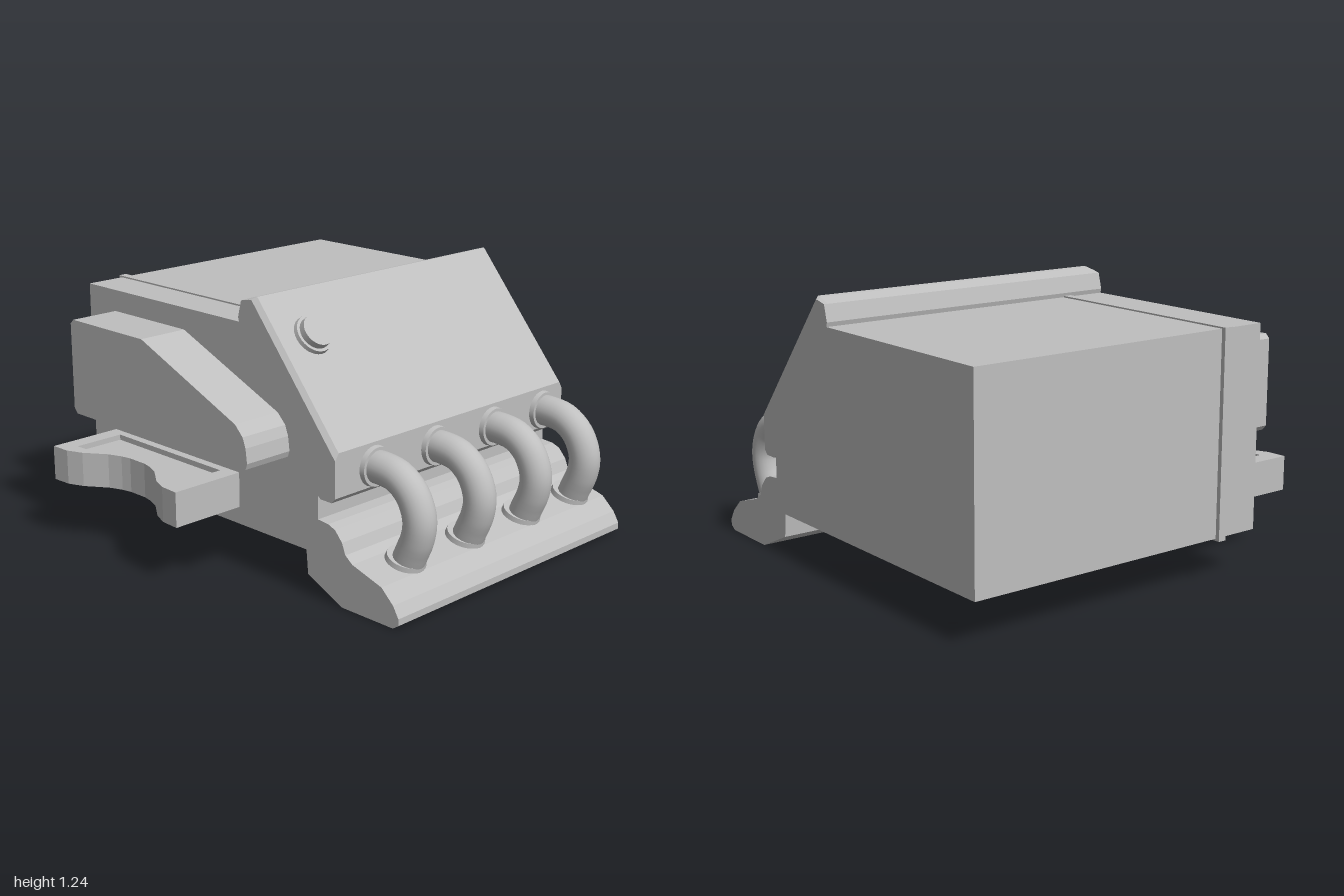
import * as THREE from 'three';

const metal = new THREE.MeshStandardMaterial({ color: 0xbfbfbf });
metal.name = 'cast metal grey';

const V2 = (p) => p.map(([x, y]) => new THREE.Vector2(x, y));

function add(parent, geometry, name) {
  const mesh = new THREE.Mesh(geometry, metal);
  mesh.name = name;
  parent.add(mesh);
  return mesh;
}

function box(parent, name, x0, x1, y0, y1, z0, z1) {
  const mesh = add(parent, new THREE.BoxGeometry(x1 - x0, y1 - y0, z1 - z0), name);
  mesh.position.set((x0 + x1) / 2, (y0 + y1) / 2, (z0 + z1) / 2);
  return mesh;
}

// Side outline of the block, counter-clockwise; d cuts back the slanted cover edge
function blockOutline(d) {
  return V2([
    [-0.98, 0.2], [0.47, 0.2], [0.48, 0.09], [0.68, 0], [0.97, 0], [1, 0.02], [1, 0.05],
    [0.97, 0.1], [0.905, 0.16], [0.74, 0.21], [0.70, 0.24], [0.68, 0.29], [0.64, 0.335],
    [0.6, 0.35], [0.54, 0.355], [0.54, 0.46], [0.555, 0.448], [0.62, 0.448], [0.64, 0.47],
    [0.64, 0.665 - d * 1.6], [0.16 - d * 0.77, 1.24 - d * 0.64], [0.14 - d * 0.5, 1.236 - d * 0.5],
    [0.08, 1.215], [0.06, 1.14], [0.065, 1.12], [-0.98, 1.12],
  ]);
}

// Flat-faced solid through matching outlines stacked along z
function loft(sections) {
  const pos = [];
  const put = (s, i) => {
    const p = s.outline[i % s.outline.length];
    pos.push(p.x, p.y, s.z);
  };
  for (let k = 0; k < sections.length - 1; k++) {
    const a = sections[k], b = sections[k + 1];
    for (let i = 0; i < a.outline.length; i++) {
      put(a, i); put(a, i + 1); put(b, i + 1);
      put(a, i); put(b, i + 1); put(b, i);
    }
  }
  const first = sections[0], last = sections[sections.length - 1];
  for (const [i, j, k] of THREE.ShapeUtils.triangulateShape(last.outline, [])) {
    put(last, i); put(last, j); put(last, k);
  }
  for (const [i, j, k] of THREE.ShapeUtils.triangulateShape(first.outline, [])) {
    put(first, i); put(first, k); put(first, j);
  }
  const g = new THREE.BufferGeometry();
  g.setAttribute('position', new THREE.Float32BufferAttribute(pos, 3));
  g.computeVertexNormals();
  return g;
}

function extrude(points, depth, hole) {
  const shape = new THREE.Shape(V2(points));
  if (hole) shape.holes.push(new THREE.Path(V2(hole)));
  return new THREE.ExtrudeGeometry(shape, { depth, bevelEnabled: false });
}

export function createModel() {
  const model = new THREE.Group();
  model.name = 'engine';

  // Block with slanted head and stepped lower ledge
  add(model, loft([
    { z: -0.94, outline: blockOutline(0.02) },
    { z: -0.92, outline: blockOutline(0) },
    { z: 0.56, outline: blockOutline(0) },
    { z: 0.58, outline: blockOutline(0.02) },
  ]), 'block');

  // Raised seam around the block
  box(model, 'seamBand', -1, 0.06, 0.19, 1.127, 0.35, 0.39);
  box(model, 'seamBandBottom', 0.06, 0.47, 0.19, 0.21, 0.35, 0.39);

  // Tapered housing on the front
  const housing = add(model, extrude([
    [-0.81, 0.6], [-0.79, 0.577], [0.33, 0.577], [0.36, 0.588], [0.37, 0.615], [0.362, 0.68],
    [0.345, 0.725], [0.3, 0.77], [-0.3, 1.02], [-0.79, 1.02], [-0.81, 1.0],
  ], 0.25), 'frontHousing');
  housing.position.z = 0.57;

  // Wavy mounting plate with a shallow recess on top
  const cx = -0.385;
  const mirrored = (half) => [
    ...half.map(([x, z]) => [cx - x, -z]),
    ...half.slice().reverse().map(([x, z]) => [cx + x, -z]),
  ];
  const edge = mirrored([
    [0.435, 0.57], [0.435, 0.94], [0.34, 0.935], [0.265, 0.905],
    [0.215, 0.87], [0.165, 0.835], [0.1, 0.81], [0.05, 0.8],
  ]);
  const recess = mirrored([
    [0.355, 0.62], [0.355, 0.865], [0.265, 0.86], [0.2, 0.83], [0.1, 0.765], [0.05, 0.75],
  ]);
  const mount = new THREE.Group();
  mount.name = 'mountingPlate';
  model.add(mount);
  const base = add(mount, extrude(edge, 0.135), 'plateBase');
  const rim = add(mount, extrude(edge, 0.025, recess), 'plateRim');
  base.rotation.x = rim.rotation.x = -Math.PI / 2;
  base.position.y = 0.28;
  rim.position.y = 0.415;

  // Filler cap standing on the slanted cover
  const up = new THREE.Vector3(0, 1, 0);
  const slope = new THREE.Vector3(0.768, 0.641, 0);
  const cap = new THREE.Group();
  cap.name = 'fillerCap';
  cap.position.set(0.303, 1.067, 0.38);
  cap.quaternion.setFromUnitVectors(up, slope);
  model.add(cap);
  add(cap, new THREE.CylinderGeometry(0.088, 0.095, 0.04, 32), 'capBase');
  add(cap, new THREE.CylinderGeometry(0.073, 0.076, 0.06, 32), 'capTop').position.y = 0.02;

  // Four curved exhaust pipes with collars at both ends
  const path = new THREE.CatmullRomCurve3([
    [0.63, 0.56], [0.7, 0.56], [0.78, 0.545], [0.85, 0.495], [0.888, 0.43],
    [0.9, 0.37], [0.888, 0.3], [0.86, 0.235], [0.828, 0.165],
  ].map(([x, y]) => new THREE.Vector3(x, y, 0)));
  const tube = new THREE.TubeGeometry(path, 24, 0.072, 24);
  const collar = new THREE.CylinderGeometry(0.086, 0.092, 0.035, 28);
  for (const z of [0.347, -0.037, -0.425, -0.787]) {
    const pipe = new THREE.Group();
    pipe.name = 'exhaustPipe';
    pipe.position.z = z;
    model.add(pipe);
    add(pipe, tube, 'pipe');
    const upper = add(pipe, collar, 'upperCollar');
    upper.position.set(0.645, 0.56, 0);
    upper.rotation.z = -Math.PI / 2;
    const lower = add(pipe, collar, 'lowerCollar');
    lower.position.set(0.825, 0.19, 0);
    lower.rotation.z = -0.31;
  }
  return model;
}
